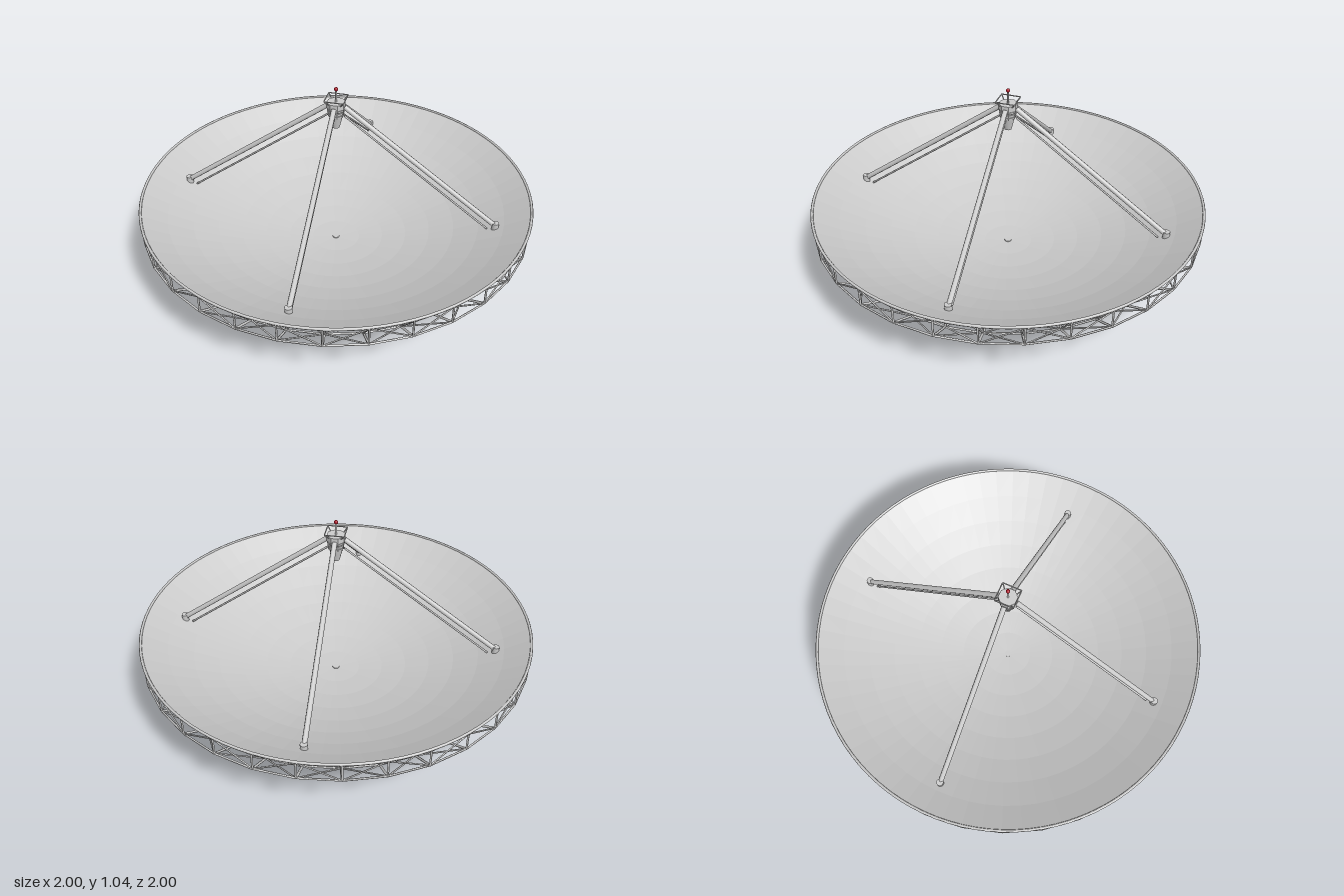
import * as THREE from 'three';
import { mergeGeometries } from 'three/addons/utils/BufferGeometryUtils.js';

const RIBS = 32, BAYS = 8, RIM = 0.99;
const V = (x, y, z) => new THREE.Vector3(x, y, z);
const dishY = r => 0.14 + 0.325 * r * r;
const backY = r => 0.095 + 0.27 * r * r;

// straight round bar between two points
function bar(a, b, radius, sides = 5, open = true) {
  const d = b.clone().sub(a);
  const g = new THREE.CylinderGeometry(radius, radius, d.length(), sides, 1, open);
  g.applyQuaternion(new THREE.Quaternion().setFromUnitVectors(V(0, 1, 0), d.normalize()));
  return g.translate((a.x + b.x) / 2, (a.y + b.y) / 2, (a.z + b.z) / 2);
}

export function createModel() {
  const root = new THREE.Group();
  const grey = new THREE.MeshStandardMaterial({ color: 0xcccccc });
  const flat = new THREE.MeshStandardMaterial({ color: 0xcccccc, flatShading: true });
  const thin = new THREE.MeshStandardMaterial({ color: 0xcccccc, flatShading: true, side: THREE.DoubleSide });
  const red = new THREE.MeshStandardMaterial({ color: 0xaa1122 });
  const add = (name, geometry, material = grey, parent = root) => {
    const m = new THREE.Mesh(geometry, material);
    m.name = name;
    parent.add(m);
    return m;
  };

  // reflector bowl: faceted paraboloid
  const profile = [];
  for (let i = 0; i <= BAYS; i++) {
    const r = RIM * i / BAYS;
    profile.push(new THREE.Vector2(r, dishY(r)));
  }
  add('reflectorDish', new THREE.LatheGeometry(profile, 64), thin);
  const rim = new THREE.TorusGeometry(0.992, 0.007, 6, 96).rotateX(Math.PI / 2);
  add('rimRing', rim.translate(0, dishY(RIM), 0));

  // backing truss: nodes on the upper and lower chords
  const node = (k, i, yOf, drop = 0) => {
    const r = RIM * i / BAYS, a = k * 2 * Math.PI / RIBS;
    return V(r * Math.sin(a), yOf(r) - drop, r * Math.cos(a));
  };
  const top = (k, i) => node(k, i, dishY, 0.008);
  const low = (k, i) => node(k, i, backY);
  const ribs = [], hoops = [], braces = [];
  for (let k = 0; k < RIBS; k++) {
    for (let i = 1; i <= BAYS; i++) {
      ribs.push(bar(top(k, i), low(k, i), 0.005));
      hoops.push(bar(low(k, i), low(k + 1, i), 0.005));
      hoops.push(bar(top(k, i), top(k + 1, i), 0.005));
      if (i === BAYS) continue;
      ribs.push(bar(top(k, i), top(k, i + 1), 0.005));
      ribs.push(bar(low(k, i), low(k, i + 1), 0.006));
      ribs.push(bar(low(k, i), top(k, i + 1), 0.004));
      // alternating diagonals across the lower face
      const s = (k + i) % 2;
      if (i > 2) braces.push(bar(low(k + s, i), low(k + 1 - s, i + 1), 0.004));
    }
    // rim diagonals
    const s = k % 2;
    braces.push(bar(top(k + s, BAYS), low(k + 1 - s, BAYS), 0.004));
  }
  add('trussRibs', mergeGeometries(ribs));
  add('trussHoops', mergeGeometries(hoops));
  add('trussBraces', mergeGeometries(braces));

  // mount: hub box, elevation axle, support struts
  const mount = new THREE.Group();
  mount.name = 'mount';
  root.add(mount);
  add('hubBox', new THREE.BoxGeometry(0.37, 0.075, 0.265).translate(0, 0.0725, 0), flat, mount);
  add('elevationAxle', new THREE.CylinderGeometry(0.03, 0.03, 0.57, 24).rotateZ(Math.PI / 2).translate(0, 0.03, 0), grey, mount);
  const struts = [];
  for (const sx of [-1, 1]) {
    struts.push(bar(V(sx * 0.19, 0.05, 0), V(sx * 0.31, 0.125, 0), 0.014, 8, false));
    for (const sz of [-1, 1])
      struts.push(bar(V(sx * 0.17, 0.075, sz * 0.1), V(sx * 0.29, 0.13, sz * 0.18), 0.012, 8, false));
  }
  add('mountStruts', mergeGeometries(struts), grey, mount);
  add('hubPost', new THREE.CylinderGeometry(0.018, 0.018, 0.06, 12).translate(0, 0.115, 0), grey, mount);

  // four feed legs, each a main tube with a thin tube below and a foot
  for (let q = 0; q < 4; q++) {
    const leg = new THREE.Group();
    leg.name = 'feedLeg' + (q + 1);
    leg.rotation.y = q * Math.PI / 2;
    root.add(leg);
    add('mainTube', bar(V(0.03, 0.945, 0.03), V(0.583, 0.375, 0.583), 0.013, 8, false), grey, leg);
    add('lowerTube', bar(V(0.03, 0.895, 0.03), V(0.555, 0.35, 0.555), 0.005, 6, false), grey, leg);
    add('foot', new THREE.CylinderGeometry(0.018, 0.018, 0.045, 12).translate(0.583, 0.37, 0.583), grey, leg);
  }

  // feed housing: cabin, stacked collars and tapered horn
  const feed = new THREE.Group();
  feed.name = 'feed';
  root.add(feed);
  const oct = (rTop, rBottom, h) => new THREE.CylinderGeometry(rTop, rBottom, h, 8).rotateY(Math.PI / 8);
  add('cabin', oct(0.046, 0.046, 0.03).translate(0, 0.953, 0), flat, feed);
  add('cabinCore', oct(0.036, 0.036, 0.06).translate(0, 0.92, 0), flat, feed);
  for (let i = 0; i < 3; i++)
    add('collar' + (i + 1), oct(0.045 - i * 0.002, 0.043 - i * 0.002, 0.011).translate(0, 0.93 - i * 0.016, 0), flat, feed);
  add('horn', new THREE.CylinderGeometry(0.034, 0.018, 0.065, 16).translate(0, 0.861, 0), grey, feed);

  // guard rail around the cabin roof, with posts
  const rail = [];
  for (let q = 0; q < 4; q++) {
    const p = (j, r, y) => V(r * Math.sin(j * Math.PI / 2), y, r * Math.cos(j * Math.PI / 2));
    rail.push(bar(p(q, 0.068, 0.986), p(q + 1, 0.068, 0.986), 0.003));
    rail.push(bar(p(q, 0.042, 0.962), p(q, 0.068, 0.986), 0.003));
  }
  add('guardRail', mergeGeometries(rail), grey, feed);

  // beacon mast
  add('mast', new THREE.CylinderGeometry(0.005, 0.005, 0.065, 8).translate(0, 1.0, 0), grey, feed);
  add('beacon', new THREE.SphereGeometry(0.01, 12, 8).translate(0, 1.035, 0), red, feed);

  return root;
}
